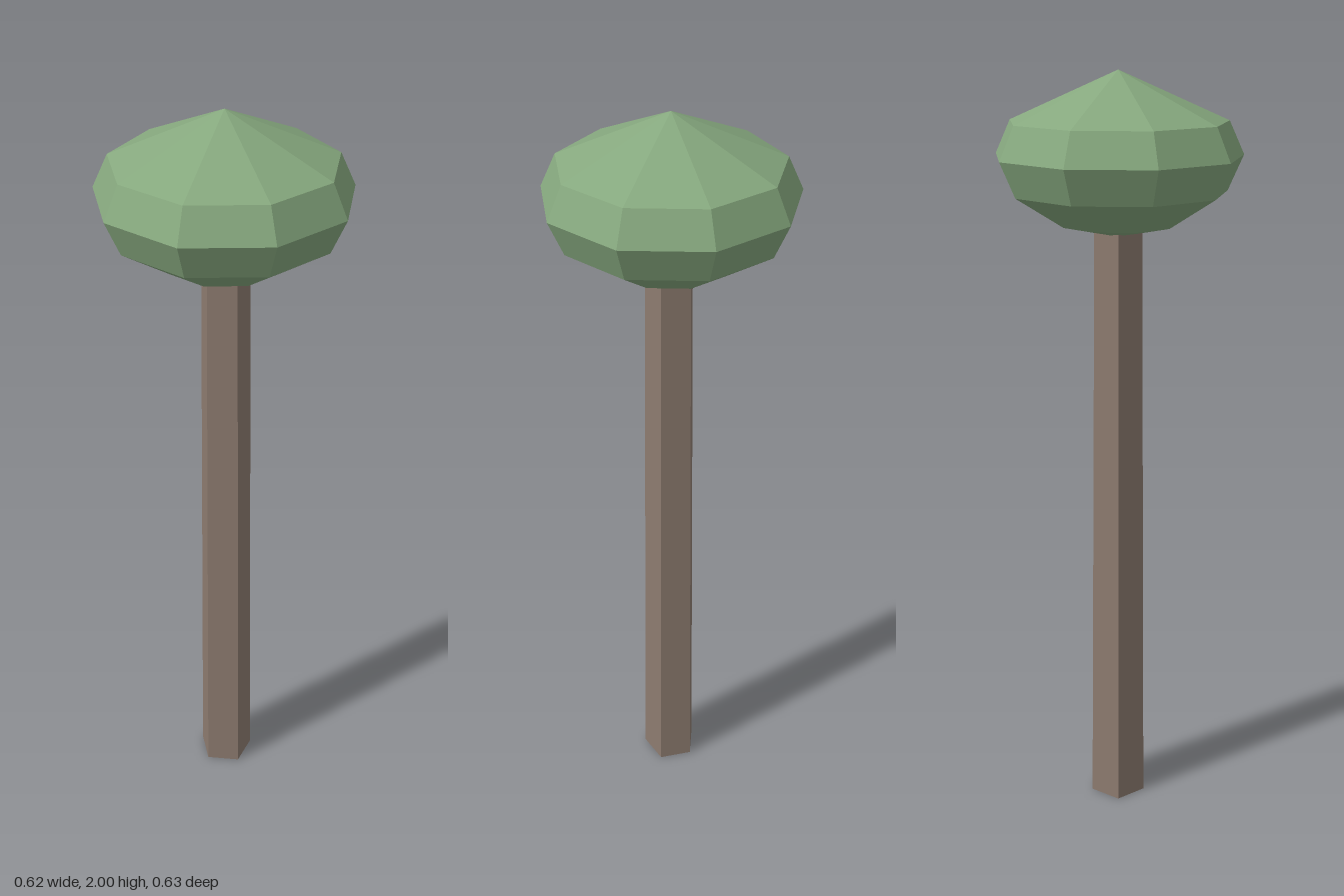
import * as THREE from 'three';

const AXIS_X = -0.01;

function addPart(group, name, geometry, color, y = 0) {
  const material = new THREE.MeshStandardMaterial({ color, flatShading: true });
  const mesh = new THREE.Mesh(geometry, material);
  mesh.name = name;
  mesh.position.set(AXIS_X, y, 0);
  group.add(mesh);
}

export function createModel() {
  const tree = new THREE.Group();
  tree.name = 'tree';

  // Tapering five-sided trunk, one corner towards +x, ending inside the crown
  const trunkHeight = 1.65;
  const trunk = new THREE.CylinderGeometry(0.0635, 0.077, trunkHeight, 5, 1, false, Math.PI / 2);
  addPart(tree, 'trunk', trunk, 0x8d7b6f, trunkHeight / 2);

  // Nine-sided faceted crown: rounded below, a shallow cone on top
  const profile = [
    [0, 1.59], [0.152, 1.623], [0.28, 1.703], [0.32, 1.792], [0.281, 1.876], [0, 2],
  ].map(([r, y]) => new THREE.Vector2(r, y));
  addPart(tree, 'crown', new THREE.LatheGeometry(profile, 9, Math.PI / 2), 0x86a87e);

  return tree;
}
